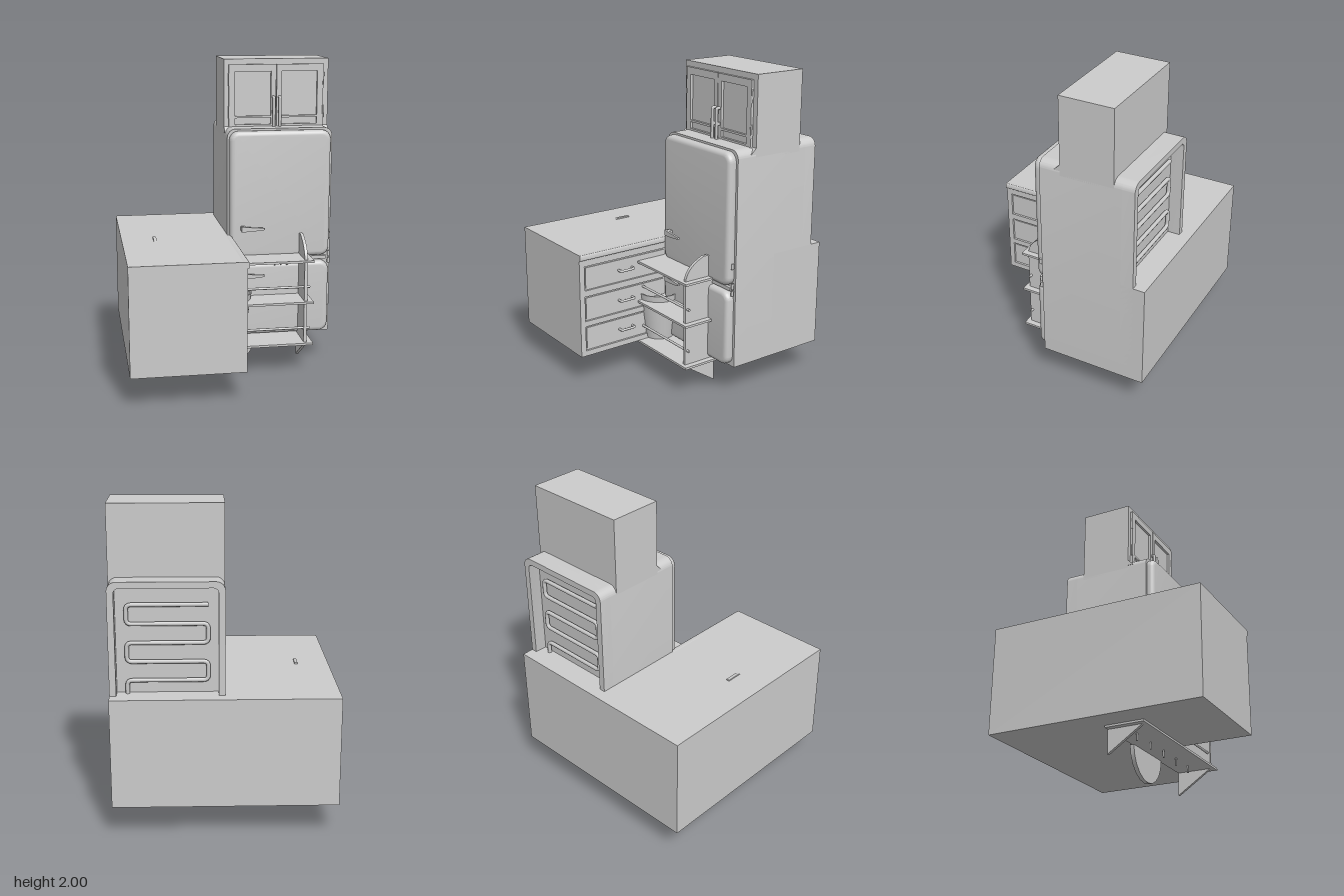
import * as THREE from 'three';
import { toCreasedNormals } from 'three/addons/utils/BufferGeometryUtils.js';

const grey = new THREE.MeshStandardMaterial({ color: 0xcccccc, side: THREE.DoubleSide });

export function createModel() {
  const model = new THREE.Group();

  const add = (name, geometry) => {
    const mesh = new THREE.Mesh(geometry, grey);
    mesh.name = name;
    model.add(mesh);
    return mesh;
  };
  // Box given by its extents
  const box = (name, x0, x1, y0, y1, z0, z1) =>
    add(name, new THREE.BoxGeometry(x1 - x0, y1 - y0, z1 - z0)
      .translate((x0 + x1) / 2, (y0 + y1) / 2, (z0 + z1) / 2));
  // Rectangle outline with separate radii for lower and upper corners
  const outline = (x0, x1, y0, y1, rb = 0, rt = rb, Type = THREE.Shape) => {
    const s = new Type();
    s.moveTo(x0 + rb, y0);
    s.lineTo(x1 - rb, y0);
    if (rb) s.absarc(x1 - rb, y0 + rb, rb, -Math.PI / 2, 0);
    s.lineTo(x1, y1 - rt);
    if (rt) s.absarc(x1 - rt, y1 - rt, rt, 0, Math.PI / 2);
    s.lineTo(x0 + rt, y1);
    if (rt) s.absarc(x0 + rt, y1 - rt, rt, Math.PI / 2, Math.PI);
    s.lineTo(x0, y0 + rb);
    if (rb) s.absarc(x0 + rb, y0 + rb, rb, Math.PI, Math.PI * 1.5);
    return s;
  };
  const extrude = (shape, depth, bevel = 0) => toCreasedNormals(new THREE.ExtrudeGeometry(shape, {
    depth: depth - bevel, curveSegments: 8, bevelEnabled: bevel > 0, bevelSize: bevel,
    bevelThickness: bevel, bevelOffset: -bevel, bevelSegments: 5,
  }), 0.6);
  // Shape drawn in (z, y), thickness along x, ending at x1
  const sideExtrude = (shape, thickness, x1) =>
    extrude(shape, thickness).rotateY(-Math.PI / 2).translate(x1, 0, 0);
  // Bent rod through points with short rounded corners
  const rod = (name, points, radius, bend = 0.012) => {
    const p = points.map(a => new THREE.Vector3(...a));
    const path = new THREE.CurvePath();
    let from = p[0];
    for (let i = 1; i < p.length; i++) {
      if (i === p.length - 1) { path.add(new THREE.LineCurve3(from, p[i])); break; }
      const a = p[i].clone().add(p[i - 1].clone().sub(p[i]).setLength(bend));
      const b = p[i].clone().add(p[i + 1].clone().sub(p[i]).setLength(bend));
      path.add(new THREE.LineCurve3(from, a));
      path.add(new THREE.QuadraticBezierCurve3(a, p[i], b));
      from = b;
    }
    return add(name, new THREE.TubeGeometry(path, points.length * 24, radius, 8));
  };

  // L-shaped counter
  box('counterSideLeg', -0.685, 0, 0.2, 0.88, -0.685, 0.685);
  box('counterBackLeg', 0, 0.685, 0.2, 0.88, -0.685, -0.3);
  add('counterEdge', extrude(outline(-0.02, 0.025, 0.842, 0.88, 0.008), 0.685));

  // Drawer front with three recesses and bar handles
  const drawerFront = outline(0, 0.685, 0.2, 0.842);
  for (const [y0, y1] of [[0.235, 0.4], [0.435, 0.6], [0.64, 0.8]]) {
    drawerFront.holes.push(outline(0.03, 0.65, y0, y1, 0, 0, THREE.Path));
    box('drawerPanel', 0, 0.006, y0 + 0.012, y1 - 0.012, 0.042, 0.638);
    const y = (y0 + y1) / 2;
    rod('drawerHandle', [[0, y, 0.295], [0.037, y, 0.295], [0.037, y, 0.395], [0, y, 0.395]], 0.008);
  }
  add('drawerFrame', sideExtrude(drawerFront, 0.014, 0.014));

  // Refrigerator body with a recessed back
  add('fridgeBody', extrude(outline(0, 0.685, 0.2, 1.568, 0, 0.055), 0.53).translate(0, 0, -0.53));
  const rim = outline(0, 0.685, 0.2, 1.568, 0, 0.055);
  rim.holes.push(outline(0.04, 0.645, 0.24, 1.53, 0, 0.03, THREE.Path));
  add('fridgeBackRim', extrude(rim, 0.08).translate(0, 0, -0.61));

  // Serpentine condenser coil
  const coil = [];
  for (let i = 0; i < 6; i++) {
    const y = 1.42 - i * 0.115;
    const ends = [[0.1, y, -0.55], [0.58, y, -0.55]];
    coil.push(...(i % 2 ? ends.reverse() : ends));
  }
  rod('condenserCoil', coil, 0.013, 0.03);

  // Rounded refrigerator doors, gaskets, lever handles and hinges
  for (const [y0, y1, handleY] of [[0.73, 1.555, 0.932], [0.21, 0.693, 0.62]]) {
    add('fridgeDoor', extrude(outline(0.012, 0.668, y0, y1, 0.06), 0.05, 0.028));
    const lever = new THREE.Shape();
    lever.moveTo(0.08, handleY - 0.018);
    lever.lineTo(0.14, handleY - 0.016);
    lever.lineTo(0.23, handleY - 0.006);
    lever.lineTo(0.23, handleY + 0.006);
    lever.lineTo(0.14, handleY + 0.012);
    lever.lineTo(0.08, handleY + 0.018);
    const bar = extrude(lever, 0.014);
    const pos = bar.attributes.position;
    for (let i = 0; i < pos.count; i++) pos.setZ(i, pos.getZ(i) + 0.076 + (pos.getX(i) - 0.08) * 0.05);
    bar.computeVertexNormals();
    add('doorLever', bar);
    box('leverMount', 0.08, 0.108, handleY - 0.014, handleY + 0.014, 0.04, 0.08);
  }
  for (const y of [0.69, 0.735, 0.86]) {
    add('doorHinge', new THREE.CylinderGeometry(0.009, 0.009, 0.035, 10).translate(0.673, y, 0.015));
  }
  box('doorDivider', 0.03, 0.655, 0.7, 0.722, 0, 0.02);

  // Upper cupboard with two framed doors
  box('cupboard', 0, 0.685, 1.5, 2, -0.48, -0.135);
  const flare = new THREE.Shape([[-0.14, 1.6], [-0.135, 1.568], [-0.095, 1.53], [-0.14, 1.53]]
    .map(p => new THREE.Vector2(...p)));
  add('cupboardFlare', sideExtrude(flare, 0.685, 0.685));
  for (const [x0, x1, handleX] of [[0.03, 0.338, 0.32], [0.342, 0.65, 0.36]]) {
    const left = x0 < 0.1 ? 0.07 : 0.375, right = left + 0.235;
    const door = outline(x0, x1, 1.565, 1.965);
    door.holes.push(outline(left, right, 1.635, 1.92, 0, 0, THREE.Path));
    door.holes.push(outline(left, right, 1.58, 1.622, 0, 0, THREE.Path));
    add('cupboardDoor', extrude(door, 0.018).translate(0, 0, -0.136));
    rod('cupboardHandle', [[handleX, 1.56, -0.12], [handleX, 1.565, -0.095],
      [handleX, 1.755, -0.095], [handleX, 1.755, -0.125]], 0.01, 0.004);
    box('handlePost', handleX - 0.007, handleX + 0.007, 1.65, 1.67, -0.125, -0.095);
    const hingeX = x0 < 0.1 ? 0.03 : 0.65;
    for (const y of [1.66, 1.87]) {
      add('cupboardHinge', new THREE.CylinderGeometry(0.006, 0.006, 0.08, 8).translate(hingeX, y, -0.122));
    }
  }

  // Open shelf unit running through the inner corner
  for (const y of [0.195, 0.472, 0.745]) box('shelf', -0.522, 0.522, y - 0.007, y + 0.007, 0, 0.25);
  const upright = new THREE.Shape();
  upright.moveTo(0, 0.04);
  upright.lineTo(0.225, 0.19);
  upright.lineTo(0.225, 0.75);
  upright.bezierCurveTo(0.215, 0.82, 0.16, 0.86, 0.09, 0.888);
  upright.lineTo(0, 0.888);
  for (const x of [-0.465, 0.485]) add('shelfUpright', sideExtrude(upright, 0.02, x));
  for (const y of [0.295, 0.57]) {
    add('shelfRail', new THREE.CylinderGeometry(0.008, 0.008, 1.01, 10)
      .rotateZ(Math.PI / 2).translate(0, y, 0.21));
  }

  // Half-round plate and hanging pegs under the shelves
  const halfRound = new THREE.Shape();
  for (let i = 0; i <= 10; i++) {
    const a = Math.PI * (1 + i / 10);
    halfRound[i ? 'lineTo' : 'moveTo'](0.185 * Math.cos(a), 0.19 + 0.19 * Math.sin(a));
  }
  add('halfRoundPlate', extrude(halfRound, 0.026).translate(0, 0, -0.013));
  const peg = (x, y, z) => add('peg', new THREE.CylinderGeometry(0.006, 0.006, 0.05, 8).translate(x, y, z));
  for (const x of [-0.35, -0.175, 0, 0.175, 0.35]) peg(x, 0.168, 0.12);
  for (const x of [0.3, 0.34, 0.38]) peg(x, 0.71, 0.08);

  // Tapered bin, open at the top
  const profile = [[0, 0.205], [0.1, 0.205], [0.145, 0.52], [0.137, 0.52], [0.094, 0.213], [0, 0.213]];
  add('bin', toCreasedNormals(new THREE.LatheGeometry(profile.map(p => new THREE.Vector2(...p)), 32), 0.6)
    .translate(0, 0, 0.08));

  return model;
}
